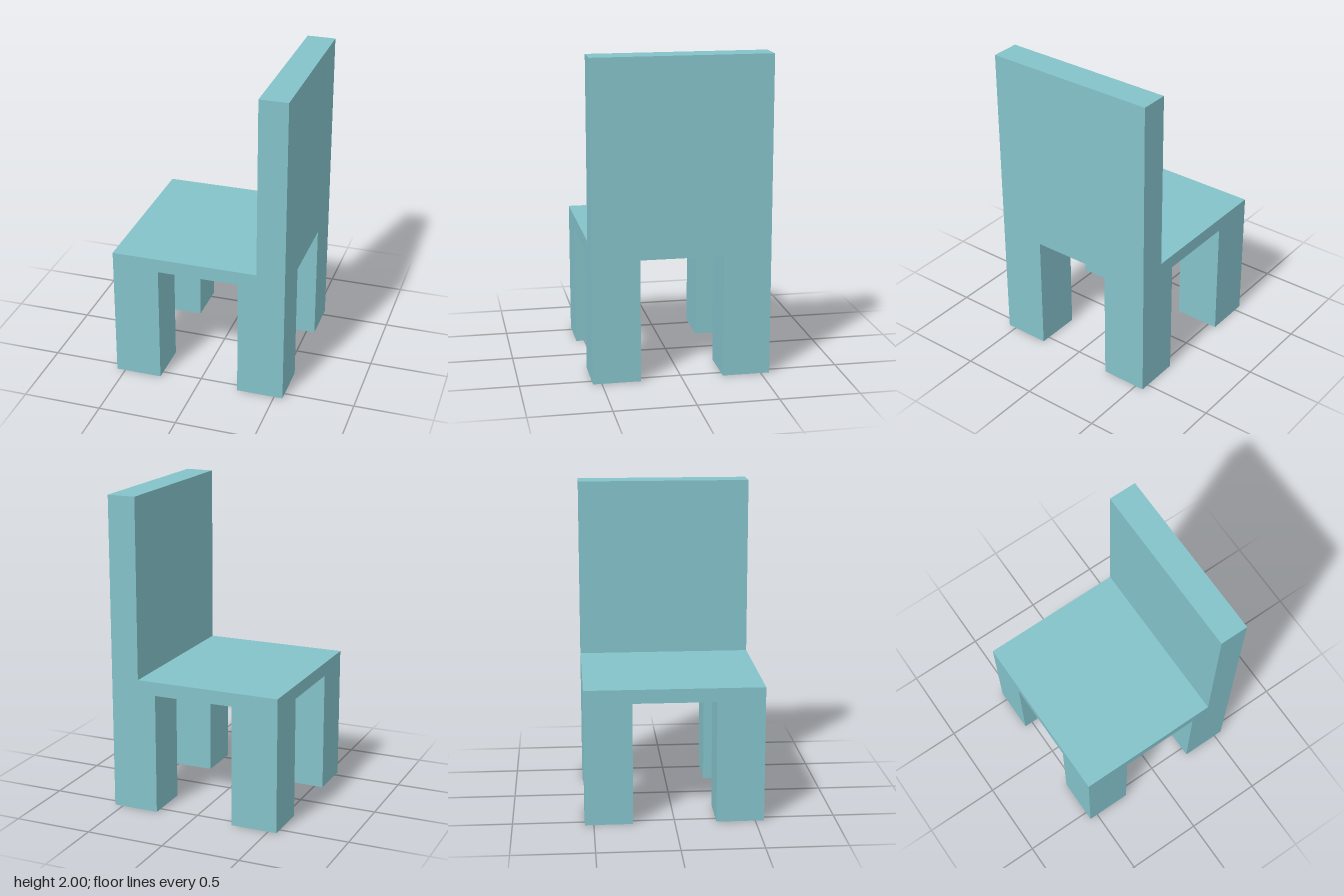
import * as THREE from 'three';

export function createModel() {
  const chair = new THREE.Group();
  chair.name = 'chair';
  const teal = new THREE.MeshStandardMaterial({ color: 0x84c2ca });
  teal.name = 'pale teal';

  const half = 0.555, legWidth = 0.297, legHeight = 0.77, seatTop = 0.857, backFront = 0.375;

  // Box given by its lower and upper corners
  function addBox(name, [x0, y0, z0], [x1, y1, z1]) {
    const mesh = new THREE.Mesh(new THREE.BoxGeometry(x1 - x0, y1 - y0, z1 - z0), teal);
    mesh.position.set((x0 + x1) / 2, (y0 + y1) / 2, (z0 + z1) / 2);
    mesh.name = name;
    chair.add(mesh);
  }

  // Thin seat slab and tall backrest along the +x edge
  addBox('seat', [-half, legHeight, -half], [half, seatTop, half]);
  addBox('backrest', [backFront, seatTop, -half], [half, 2, half]);

  // Four square legs flush with the seat corners
  const inner = half - legWidth;
  for (const [side, x] of [['right', -half], ['left', inner]]) {
    for (const [end, z] of [['back', -half], ['front', inner]]) {
      addBox(`${end} ${side} leg`, [x, 0, z], [x + legWidth, legHeight, z + legWidth]);
    }
  }
  return chair;
}
